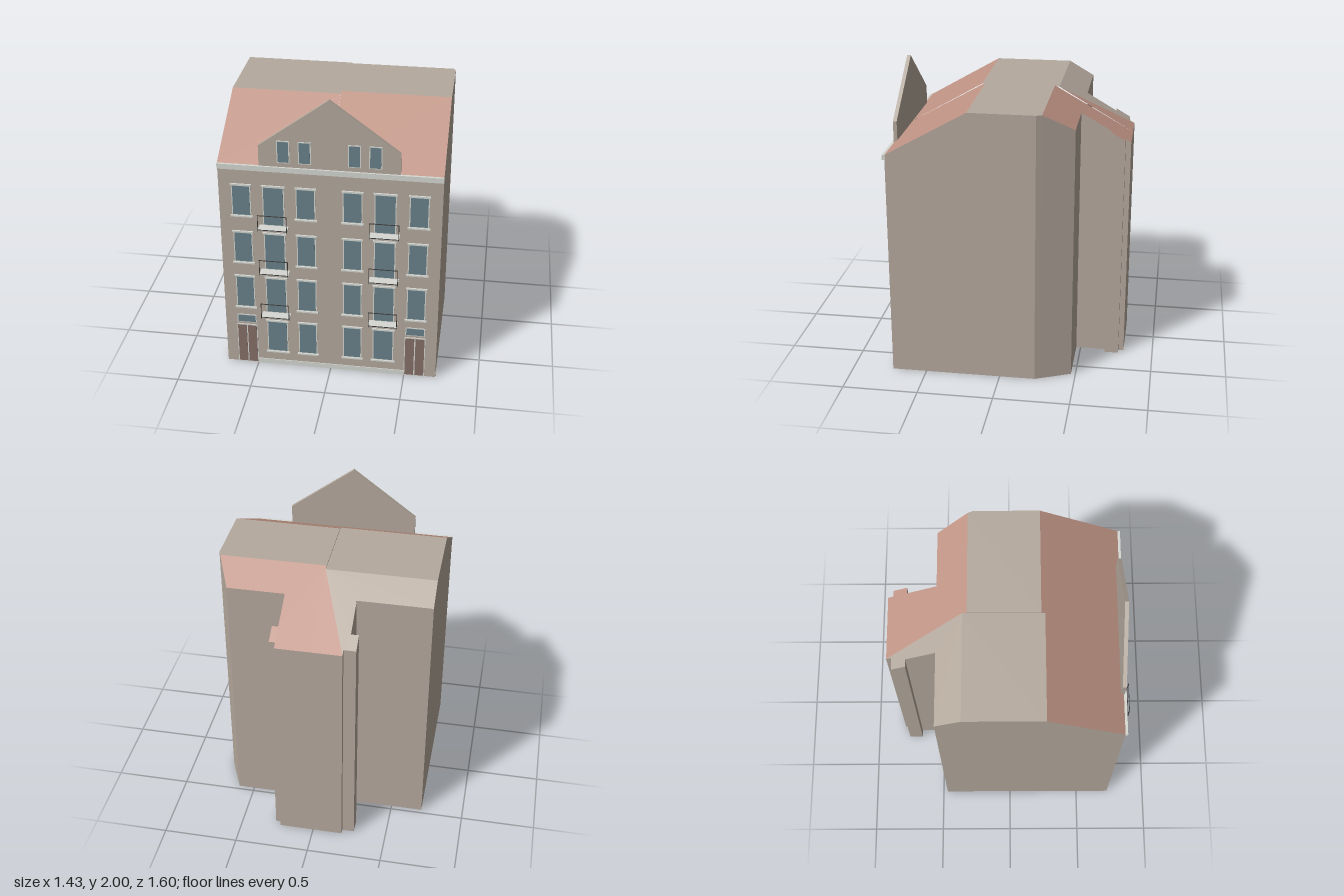
import * as THREE from 'three';

const paint = (name, color) => {
  const m = new THREE.MeshStandardMaterial({ color });
  m.name = name;
  return m;
};

const EAVE = 1.53, RIDGE = 1.83, FRONT = 0.73, BACK = -0.8;
// depth where the roof bends, for each half of the house
const bends = { left: [0.225, -0.3], right: [0.2, -0.27] };

function roofHeight(side, z) {
  const [f, b] = bends[side];
  const t = z > f ? (z - f) / (FRONT - f) : z < b ? (b - z) / (b - BACK) : 0;
  return RIDGE - (RIDGE - EAVE) * t - (side === 'left' ? 0.008 * (1 - t) : 0);
}

export function createModel() {
  const house = new THREE.Group();
  house.name = 'townhouse';
  const plaster = paint('plaster', 0xb5a99d);
  const tile = paint('roof tile', 0xbf9384);
  const glass = paint('window glass', 0x6b828b);
  const trim = paint('pale trim', 0xd6d8d2);
  const wood = paint('door wood', 0x866e68);
  const iron = paint('railing iron', 0x3c3a3a);

  const add = (name, geo, mat, parent = house) => {
    const m = new THREE.Mesh(geo, mat);
    m.name = name;
    parent.add(m);
    return m;
  };
  // box given by its extents
  const box = (name, mat, x0, x1, y0, y1, z0, z1, parent) =>
    add(name, new THREE.BoxGeometry(x1 - x0, y1 - y0, z1 - z0), mat, parent)
      .position.set((x0 + x1) / 2, (y0 + y1) / 2, (z0 + z1) / 2);
  const shape = (pts) => new THREE.Shape(pts.map(([x, y]) => new THREE.Vector2(x, y)));

  // footprint (x, z), running round from the front left corner
  const outline = [
    [-0.713, 0.73], [0, 0.73], [0.713, 0.73], [0.713, 0.2], [0.713, -0.235],
    [0.698, -0.27], [0.61, -0.47], [0.23, -0.47], [0.23, -0.67], [0.27, -0.67],
    [0.27, -0.765], [0.23, -0.765], [0.23, -0.8], [0, -0.8], [-0.2, -0.8],
    [-0.2, -0.765], [-0.28, -0.765], [-0.28, -0.67], [-0.23, -0.67],
    [-0.23, -0.47], [-0.713, -0.47], [-0.713, -0.3], [-0.713, 0.225],
  ];

  // outer walls, each rising to the roof surface
  const wallPos = [];
  outline.forEach(([ax, az], i) => {
    const [bx, bz] = outline[(i + 1) % outline.length];
    const side = ax + bx < 0 ? 'left' : 'right';
    const ah = roofHeight(side, az), bh = roofHeight(side, bz);
    wallPos.push(ax, 0, az, bx, 0, bz, bx, bh, bz, ax, 0, az, bx, bh, bz, ax, ah, az);
  });
  const walls = new THREE.BufferGeometry();
  walls.setAttribute('position', new THREE.Float32BufferAttribute(wallPos, 3));
  walls.computeVertexNormals();
  add('walls', walls, plaster);
  add('floor', new THREE.ShapeGeometry(shape(outline)).rotateX(Math.PI / 2), plaster);

  // party wall closing the small step between both roof halves
  const party = [[-FRONT, 1], ...[FRONT, ...bends.right, BACK].map((z) => [-z, roofHeight('right', z)]), [-BACK, 1]];
  const partyMat = plaster.clone();
  partyMat.side = THREE.DoubleSide;
  add('partyWall', new THREE.ShapeGeometry(shape(party)).rotateY(Math.PI / 2), partyMat);

  // roof panels: flat outlines lifted onto the roof surface
  const roof = (name, side, mat, pts) => {
    const g = new THREE.ShapeGeometry(shape(pts.map(([x, z]) => [x, -z]))).rotateX(-Math.PI / 2);
    const p = g.attributes.position;
    for (let i = 0; i < p.count; i++) p.setY(i, roofHeight(side, p.getZ(i)));
    g.computeVertexNormals();
    add(name, g, mat);
  };
  roof('frontRoofLeft', 'left', tile, [[-0.713, 0.73], [0, 0.73], [0, 0.225], [-0.713, 0.225]]);
  roof('frontRoofRight', 'right', tile, [[0, 0.73], [0.713, 0.73], [0.713, 0.2], [0, 0.2]]);
  roof('flatRoofLeft', 'left', plaster, [[-0.713, 0.225], [0, 0.225], [0, -0.3], [-0.713, -0.3]]);
  roof('flatRoofRight', 'right', plaster,
    [[0, 0.2], [0.713, 0.2], [0.713, -0.235], [0.698, -0.27], [0, -0.27]]);
  roof('backRoofRight', 'right', tile, [[0, -0.27], ...outline.slice(5, 14)]);
  roof('backRoofWedge', 'left', tile, [[0, -0.3], [0, -0.8], [-0.2, -0.8]]);
  roof('backRoofLeft', 'left', plaster, [[0, -0.3], ...outline.slice(14, 22)]);

  // free-standing front gable
  const gable = [[-0.445, 1.52], [0.445, 1.52], [0.445, 1.67], [0, 2], [-0.445, 1.67]];
  add('gable', new THREE.ExtrudeGeometry(shape(gable), { depth: 0.025, bevelEnabled: false }), plaster)
    .position.z = 0.71;

  // cornice and plinth
  box('cornice', trim, -0.713, 0.713, 1.495, 1.53, 0.725, 0.747);
  box('plinth', trim, -0.5, 0.5, 0, 0.035, 0.725, 0.735);

  // framed window, optionally with sill and lintel
  const makeWindow = (cx, w, y0, y1, z, ledges) => {
    const g = new THREE.Group();
    g.name = 'window';
    house.add(g);
    const h = w / 2;
    box('frame', trim, cx - h, cx + h, y0, y1, z - 0.004, z + 0.004, g);
    box('pane', glass, cx - h + 0.007, cx + h - 0.007, y0 + 0.006, y1 - 0.006, z, z + 0.007, g);
    if (!ledges) return;
    box('lintel', trim, cx - h - 0.006, cx + h + 0.006, y1, y1 + 0.01, z - 0.004, z + 0.011, g);
    if (ledges > 1) box('sill', trim, cx - h - 0.01, cx + h + 0.01, y0 - 0.01, y0, z - 0.004, z + 0.014, g);
  };

  // balcony with a slim railing
  const makeBalcony = (cx, y) => {
    const g = new THREE.Group();
    g.name = 'balcony';
    house.add(g);
    const a = cx - 0.095, b = cx + 0.095, t = 0.004;
    box('slab', trim, a, b, y - 0.01, y, 0.725, 0.795, g);
    for (const x of [a, b - t]) box('post', iron, x, x + t, y - 0.01, y + 0.105, 0.796, 0.8, g);
    box('topRail', iron, a, b, y + 0.102, y + 0.106, 0.796, 0.8, g);
    box('bottomRail', iron, a, b, y - 0.003, y + 0.001, 0.796, 0.8, g);
  };

  // window grid, rows from the ground up
  const columns = [-0.568, -0.36, -0.153, 0.147, 0.355, 0.568];
  const rows = [[0.11, 0.352], [0.458, 0.695], [0.81, 1.035], [1.162, 1.38]];
  rows.forEach(([y0, y1], r) => columns.forEach((x, c) => {
    const wide = c === 1 || c === 4;
    if (r === 0 && (c === 0 || c === 5)) return;
    const balcony = wide && r > 0;
    const low = balcony ? [0, 0.425, 0.765, 1.1][r] : y0;
    makeWindow(x, wide ? 0.14 : 0.125, low, y1, FRONT, balcony ? 1 : 2);
    if (balcony) makeBalcony(x, low);
  }));

  // gable windows
  for (const x of [-0.288, -0.153, 0.158, 0.29]) makeWindow(x, 0.082, 1.56, 1.712, 0.735, 0);

  // double doors with transom lights
  for (const x of [columns[0], columns[5]]) {
    box('doorFrame', trim, x - 0.07, x + 0.07, 0, 0.312, 0.726, 0.735);
    for (const s of [-1, 1]) {
      const c = x + s * 0.034;
      box('doorLeaf', wood, c - 0.03, c + 0.03, 0.008, 0.304, 0.73, 0.738);
    }
    makeWindow(x, 0.132, 0.328, 0.39, FRONT, 0);
  }
  return house;
}
